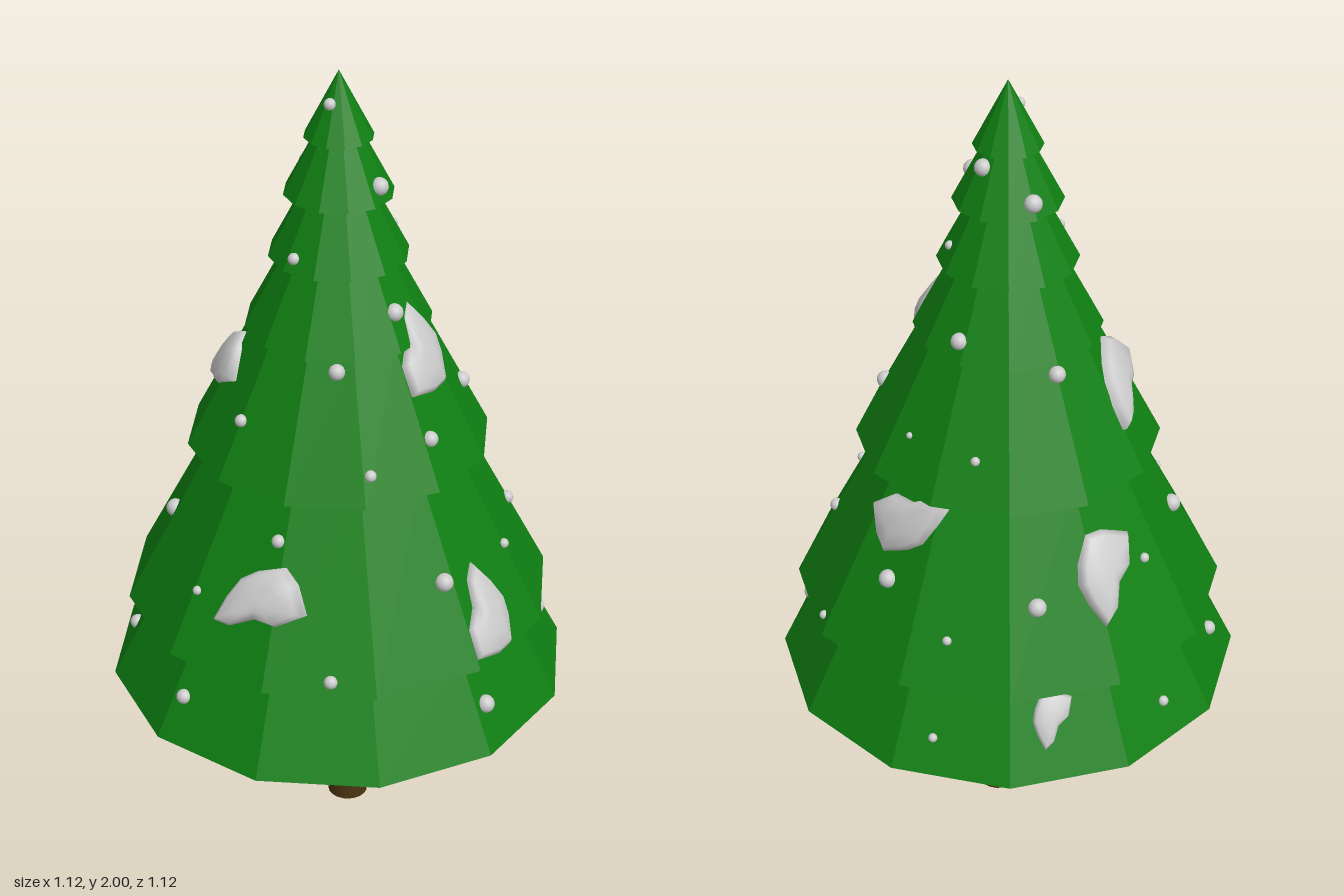
import * as THREE from 'three';

const SLOPE = 0.52;                 // radius lost per unit of height
const SIDES = 12;
const TILT = Math.atan(SLOPE);
// [base height, base radius] of each tier, bottom to top
const TIERS = [[0.45, 0.56], [0.67, 0.515], [1.085, 0.36], [1.385, 0.22], [1.56, 0.163], [1.71, 0.127], [1.845, 0.08]];
const TOP = 2;
const rad = THREE.MathUtils.degToRad;

const green = new THREE.MeshStandardMaterial({ color: 0x0f7f12, flatShading: true });
const brown = new THREE.MeshStandardMaterial({ color: 0x4d3510 });
const grey = new THREE.MeshStandardMaterial({ color: 0xcccccc });

// Point on the faceted foliage at an azimuth (degrees from +z towards +x) and height
function onFoliage(azimuth, y) {
  const [y0, r0] = TIERS.filter(t => t[0] <= y).pop();
  const fromFacetMiddle = rad((azimuth % 30) - 15);
  const r = (r0 - SLOPE * (y - y0)) * Math.cos(Math.PI / SIDES) / Math.cos(fromFacetMiddle);
  const a = rad(azimuth);
  return new THREE.Vector3(r * Math.sin(a), y, r * Math.cos(a));
}

function add(parent, name, geometry, material) {
  const mesh = new THREE.Mesh(geometry, material);
  mesh.name = name;
  parent.add(mesh);
  return mesh;
}

// Irregular domed snow patch, made of rings shrinking towards its middle
function patchGeometry() {
  const outline = [[0.02, 0.125], [-0.01, 0.095], [-0.025, 0.03], [-0.063, -0.01], [-0.07, -0.083],
    [0, -0.1], [0.047, -0.095], [0.07, -0.03], [0.074, 0.018], [0.053, 0.07]];
  const rings = [[1, -0.025], [1, 0.006], [0.88, 0.02], [0.5, 0.028]];
  const n = outline.length, pos = [], index = [];
  for (const [s, z] of rings) for (const [x, y] of outline) pos.push(x * s, y * s, z);
  pos.push(0, 0, 0.03);
  for (let k = 0; k < rings.length; k++) {
    for (let i = 0; i < n; i++) {
      const a = k * n + i, b = k * n + (i + 1) % n;
      if (k === rings.length - 1) index.push(a, b, rings.length * n);
      else index.push(a, b, b + n, a, b + n, a + n);
    }
  }
  const g = new THREE.BufferGeometry();
  g.setAttribute('position', new THREE.Float32BufferAttribute(pos, 3));
  g.setIndex(index);
  g.computeVertexNormals();
  return g;
}

export function createModel() {
  const model = new THREE.Group();
  model.name = 'snowyTree';

  // Leaning trunk
  const trunk = new THREE.CylinderGeometry(0.05, 0.05, 0.5, 20, 5).translate(0, 0.25, 0);
  const p = trunk.attributes.position;
  for (let i = 0; i < p.count; i++) {
    p.setX(i, p.getX(i) + 0.03 + 0.028 * Math.pow(p.getY(i) / 0.45, 1.2));
  }
  add(model, 'trunk', trunk, brown);

  // Stacked foliage tiers
  const foliage = new THREE.Group();
  foliage.name = 'foliage';
  model.add(foliage);
  TIERS.forEach(([y0, r0], i) => {
    const last = i === TIERS.length - 1;
    const h = (last ? TOP : TIERS[i + 1][0] + 0.01) - y0;
    const geometry = new THREE.CylinderGeometry(last ? 0 : r0 - SLOPE * h, r0, h, SIDES);
    add(foliage, 'tier' + (i + 1), geometry, green).position.y = y0 + h / 2;
  });

  // Snowballs: azimuth, height, radius
  const balls = [
    [197, 0.53, 0.013], [231, 0.54, 0.018], [129, 0.53, 0.011], [273, 0.555, 0.018], [4, 0.55, 0.022], [54, 0.56, 0.02],
    [203, 0.88, 0.012], [159, 0.86, 0.022], [235, 0.89, 0.022], [131, 0.78, 0.011], [105.5, 0.86, 0.022],
    [86.5, 0.7, 0.011], [271, 0.82, 0.011], [59, 0.86, 0.016], [318, 0.7, 0.016], [30, 0.86, 0.012],
    [357, 0.87, 0.022], [297, 0.98, 0.016],
    [135, 1.19, 0.011], [180, 1.36, 0.02], [99.6, 1.195, 0.008], [270, 1.22, 0.015], [319, 1.36, 0.019],
    [55, 1.21, 0.02], [333, 1.15, 0.014], [4, 1.19, 0.019],
    [115, 1.43, 0.02], [6, 1.465, 0.021], [73.5, 1.605, 0.011], [276, 1.59, 0.014],
    [180, 1.745, 0.021], [19, 1.745, 0.021], [100, 1.81, 0.02], [286, 1.93, 0.014],
  ];
  const ballGeometry = new THREE.SphereGeometry(1, 16, 12);
  for (const [azimuth, y, r] of balls) {
    const ball = add(model, 'snowball', ballGeometry, grey);
    ball.position.copy(onFoliage(azimuth, y));
    ball.scale.setScalar(r);
  }

  // Snow patches: azimuth, height, turn in the surface, size, facing azimuth
  const patches = [
    [8, 0.765, 0, 1, 10], [17, 1.36, 0, 1, 15], [295, 0.845, 130, 1, 293], [227, 1.264, 141, 1, 226],
    [105.5, 1.0, -44, 1, 105], [185, 0.9, 169, 1, 187], [162, 0.585, 170, 0.62, 164],
  ];
  const patch = patchGeometry();
  for (const [azimuth, y, turn, size, facing] of patches) {
    const mesh = add(model, 'snowPatch', patch, grey);
    mesh.position.copy(onFoliage(azimuth, y));
    mesh.rotation.set(-TILT, rad(facing), rad(turn), 'YXZ');
    mesh.scale.setScalar(size);
  }
  return model;
}
